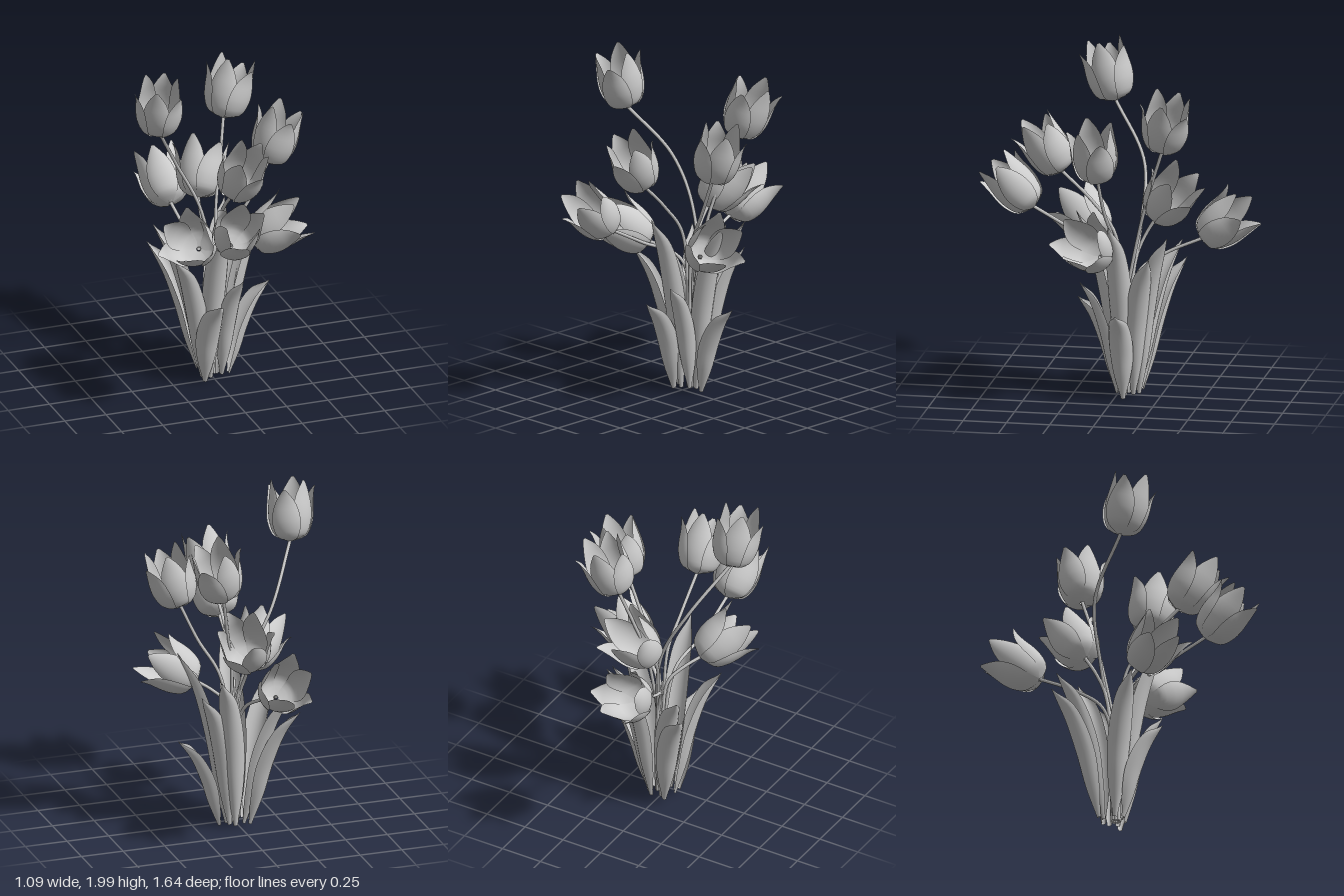
import * as THREE from 'three';

const V = (a) => new THREE.Vector3(...a);
const material = new THREE.MeshStandardMaterial({ color: 0xcccccc, side: THREE.DoubleSide });
const lerp = THREE.MathUtils.lerp;

// Curved sheet: fn(u in -1..1 across, v in 0..1 along) returns a point
function sheet(name, nu, nv, fn) {
  const geo = new THREE.PlaneGeometry(2, 1, nu, nv);
  const p = geo.attributes.position;
  for (let i = 0; i < p.count; i++) {
    const q = fn(p.getX(i), p.getY(i) + 0.5);
    p.setXYZ(i, q.x, q.y, q.z);
  }
  geo.computeVertexNormals();
  const mesh = new THREE.Mesh(geo, material);
  mesh.name = name;
  return mesh;
}

// Smooth value along a short list of evenly spaced numbers
function sample(list, v) {
  const curve = new THREE.SplineCurve(list.map((y, i) => new THREE.Vector2(i, y)));
  return curve.getPoint(v).y;
}

const petalRadius = [0.012, 0.088, 0.117, 0.122, 0.114, 0.108];
const petalHeight = [0, 0.035, 0.11, 0.19, 0.275, 0.355];
const petalWidth = [0.015, 0.064, 0.09, 0.088, 0.06, 0.008];

function petal(angle, outer, open) {
  const cos = Math.cos(angle), sin = Math.sin(angle);
  return sheet(outer ? 'outerPetal' : 'innerPetal', 10, 16, (u, v) => {
    const flare = outer * 0.045 * v ** 4 + open * v * v;
    const r = sample(petalRadius, v) + outer * 0.008 * Math.sin(Math.PI * v) + flare;
    const y = sample(petalHeight, v) * (outer ? 0.87 : 1) - open * 0.45 * v * v;
    const curl = 0.03 + 0.085 * Math.sin(Math.PI * Math.min(1, v * 0.9 + 0.05));
    const a = u * sample(petalWidth, v) / curl;
    const out = r + curl * (Math.cos(a) - 1) * 0.85;
    const side = curl * Math.sin(a);
    return V([out * cos - side * sin, y, out * sin + side * cos]);
  });
}

// Base of the bloom, direction it faces, how far it is open, turn, stem waypoints
const flowers = [
  { base: [-0.37, 1.635, 0.08], dir: [-0.06, 1, 0.24], open: 0, turn: 0.0, via: [[-0.03, 1.0, -0.13], [-0.19, 1.33, -0.12]] },
  { base: [0.16, 1.49, -0.29], dir: [0.28, 1, -0.17], open: 0.01, turn: 0.2, via: [[0.06, 1.0, -0.14], [0.11, 1.25, -0.21]] },
  { base: [0.3, 1.335, 0.06], dir: [0.3, 1, 0.04], open: 0, turn: 0.6, via: [[0.08, 0.9, 0], [0.2, 1.12, 0.04]] },
  { base: [0, 1.3, 0.32], dir: [0.1, 1, 0.57], open: 0, turn: 0.3, via: [[0.01, 0.95, 0.01], [0, 1.13, 0.14]] },
  { base: [-0.09, 1.06, 0.5], dir: [-0.05, 0.75, 0.72], open: 0, turn: 0.8, via: [[-0.02, 0.82, 0.05], [-0.07, 0.93, 0.25]] },
  { base: [-0.14, 0.89, 0.12], dir: [-0.53, 0.58, 0.68], open: 0.03, turn: 0, via: [[-0.01, 0.76, -0.02], [-0.07, 0.84, 0.04]] },
  { base: [0.2, 0.86, 0.06], dir: [0.8, 0.52, 0.28], open: 0.03, turn: 0.6, via: [[0.05, 0.74, -0.03], [0.12, 0.81, 0.02]] },
  { base: [-0.02, 1.05, -0.22], dir: [0.33, 0.8, -0.53], open: 0.03, turn: 0.4, via: [[0.0, 0.82, -0.11], [-0.02, 0.95, -0.16]] },
  { base: [-0.09, 0.92, -0.47], dir: [0.01, 0.6, -0.78], open: 0.02, turn: 0.9, via: [[-0.02, 0.73, -0.12], [-0.07, 0.83, -0.26]] },
];

function makeFlower({ base, dir, open, turn, via }, index) {
  const flower = new THREE.Group();
  flower.name = 'flower';
  const bloom = new THREE.Group();
  bloom.name = 'bloom';
  for (let i = 0; i < 6; i++) bloom.add(petal(turn + i * Math.PI / 3, i % 2, open));
  const facing = V(dir).normalize();
  bloom.quaternion.setFromUnitVectors(V([0, 1, 0]), facing);
  bloom.position.copy(V(base));

  // Stems start together in a small ring and end inside the bloom
  const a = index * Math.PI * 2 / 9;
  const x = 0.02 + 0.022 * Math.cos(a), z = -0.055 + 0.022 * Math.sin(a);
  const path = new THREE.CatmullRomCurve3([
    V([x, 0.03, z]), V([x, 0.45, z]), ...via.map(V), V(base).addScaledVector(facing, 0.01),
  ]);
  const stem = new THREE.Mesh(new THREE.TubeGeometry(path, 40, 0.01, 8), material);
  stem.name = 'stem';
  flower.add(bloom, stem);
  return flower;
}

// Leaf tips, bases and half widths
const leaves = [
  { tip: [-0.05, 0.56, 0.24], base: [-0.06, 0.01, 0.02], width: 0.072 },
  { tip: [0.35, 0.55, -0.05], base: [0.11, 0.01, -0.05], width: 0.068 },
  { tip: [-0.01, 1.07, 0.24], base: [-0.02, 0.02, 0.0], width: 0.07 },
  { tip: [-0.28, 0.76, -0.35], base: [-0.06, 0.03, -0.14], width: 0.068 },
  { tip: [-0.28, 0.83, 0.12], base: [-0.07, 0.02, -0.03], width: 0.068 },
  { tip: [0.1, 0.68, 0.2], base: [0.05, 0.03, 0.0], width: 0.06 },
  { tip: [0.18, 0.98, -0.32], base: [0.04, 0.03, -0.14], width: 0.068 },
  { tip: [0.34, 1.07, -0.01], base: [0.07, 0.02, -0.05], width: 0.07 },
  { tip: [-0.25, 0.87, -0.33], base: [-0.03, 0.03, -0.12], width: 0.064 },
  { tip: [0.27, 0.87, -0.23], base: [0.07, 0.03, -0.11], width: 0.068 },
];
const leafWidth = [0.2, 0.6, 0.88, 1, 0.95, 0.7, 0.04];

function makeLeaf({ tip, base, width }) {
  const at = (k, h) => new THREE.Vector3(
    lerp(base[0], tip[0], k), lerp(base[1], tip[1], h), lerp(base[2], tip[2], k));
  // Rises steeply, then leans outwards
  const path = new THREE.CatmullRomCurve3([
    at(0, 0), at(0.24, 0.26), at(0.43, 0.53), at(0.69, 0.8), at(1, 1)]);
  const outward = new THREE.Vector3(tip[0] - base[0], 0, tip[2] - base[2]).normalize();
  const side = new THREE.Vector3(0, 1, 0).cross(outward);
  return sheet('leaf', 10, 24, (u, v) => {
    const centre = path.getPoint(v);
    const inward = path.getTangent(v).cross(side).normalize();
    if (inward.dot(outward) > 0) inward.negate();
    const w = width * sample(leafWidth, v);
    const fold = w * 1.15 * u * u * (1 - 0.3 * v);
    return centre.addScaledVector(side, w * Math.sin(u * 1.3) / Math.sin(1.3)).addScaledVector(inward, fold);
  });
}

export function createModel() {
  const model = new THREE.Group();
  model.name = 'tulipBunch';
  const blooms = new THREE.Group();
  blooms.name = 'flowers';
  flowers.forEach((f, i) => blooms.add(makeFlower(f, i)));
  const foliage = new THREE.Group();
  foliage.name = 'leaves';
  leaves.forEach((l) => foliage.add(makeLeaf(l)));
  model.add(blooms, foliage);
  return model;
}
